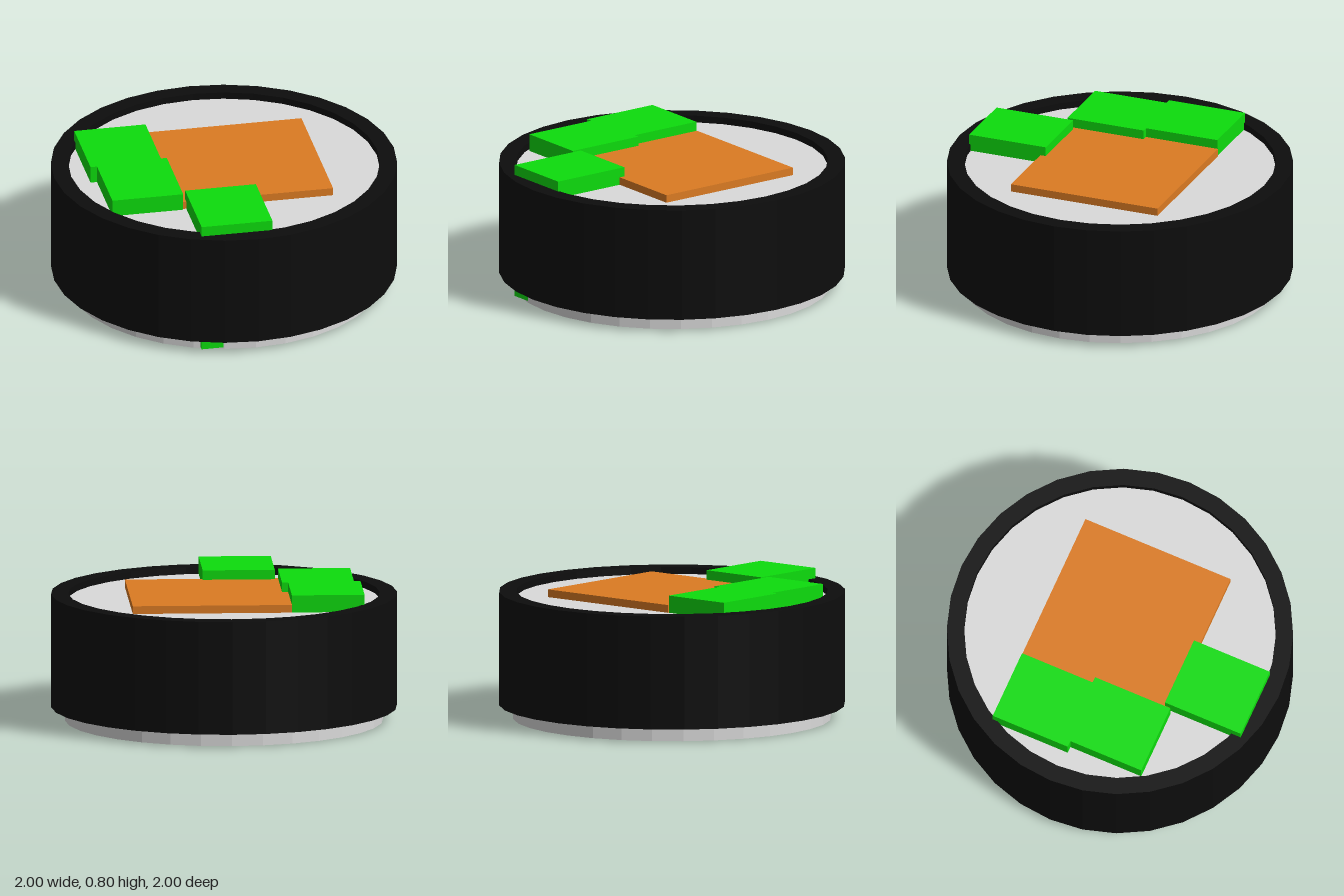
import * as THREE from 'three';

const SIDES = 32;

export function createModel() {
  const model = new THREE.Group();

  const paint = (name, color, flatShading = false) => {
    const material = new THREE.MeshStandardMaterial({ color, flatShading });
    material.name = name;
    return material;
  };
  const black = paint('black', 0x0d0d0d, true);
  const grey = paint('light grey', 0xdadada, true);
  const green = paint('green', 0x0ddc0d);
  const orange = paint('orange', 0xdb7b23);

  const add = (name, geometry, material) => {
    const mesh = new THREE.Mesh(geometry, material);
    mesh.name = name;
    model.add(mesh);
    return mesh;
  };

  // Box given by its limits on each axis
  const block = (name, [x0, x1], [y0, y1], [z0, z1], material) => {
    const mesh = add(name, new THREE.BoxGeometry(x1 - x0, y1 - y0, z1 - z0), material);
    mesh.position.set((x0 + x1) / 2, (y0 + y1) / 2, (z0 + z1) / 2);
  };

  // Outer band: a closed rectangular section turned round the y axis
  const section = [[0.9, 0.08], [1, 0.08], [1, 0.74], [0.9, 0.74], [0.9, 0.08]];
  add('outerBand', new THREE.LatheGeometry(section.map(([r, y]) => new THREE.Vector2(r, y)), SIDES), black);

  // Core: shows below the band and as the recessed top face
  add('core', new THREE.CylinderGeometry(0.92, 0.92, 0.7, SIDES), grey).position.y = 0.35;

  // Square plate on the top face
  block('topPlate', [-0.37, 0.55], [0.66, 0.745], [-0.46, 0.455], orange);

  // Tall blocks running down through the core
  const height = [0.01, 0.8];
  block('backSideBlock', [-0.79, -0.37], height, [-0.455, 0.018], green);
  block('frontSideBlock', [-0.752, -0.335], height, [-0.01, 0.465], green);
  block('frontBlock', [-0.315, 0.102], height, [0.422, 0.9], green);

  return model;
}
